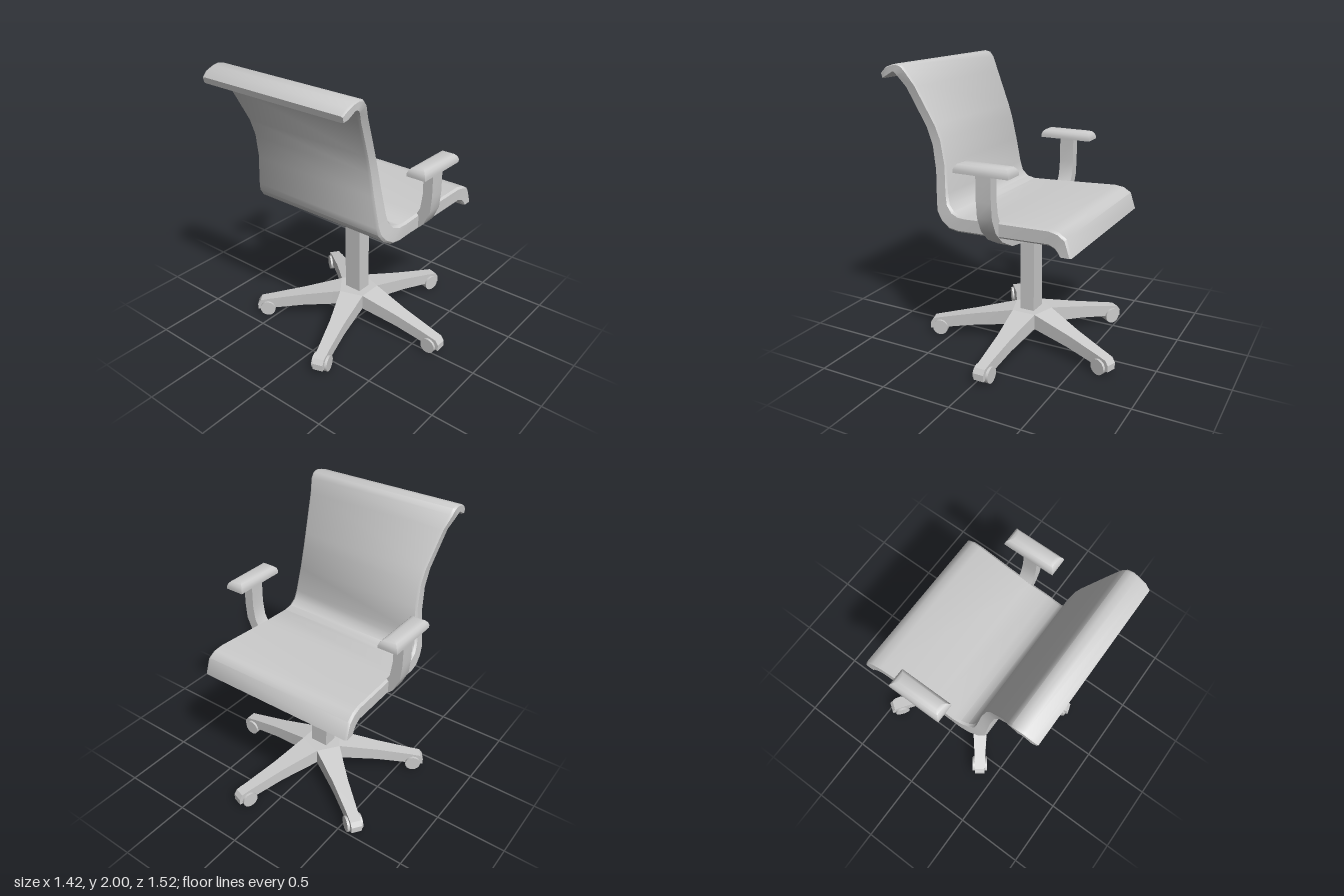
import * as THREE from 'three';
import { toCreasedNormals } from 'three/addons/utils/BufferGeometryUtils.js';

const material = new THREE.MeshStandardMaterial({ color: 0xcccccc });
const CX = -0.035, CZ = -0.04; // axis of the column

// Closed solid through a list of equal-length rings of [x, y, z] points
function loft(rings, crease = 0.7) {
  const n = rings[0].length, pts = rings.flat(), tris = [];
  for (let i = 0; i < rings.length - 1; i++) {
    for (let j = 0; j < n; j++) {
      const a = i * n + j, b = i * n + (j + 1) % n;
      tris.push([a, b, b + n], [a, b + n, a + n]);
    }
  }
  const last = (rings.length - 1) * n;
  for (let j = 1; j < n - 1; j++) tris.push([0, j + 1, j], [last, last + j, last + j + 1]);
  // Turn the faces outward whichever way the rings run
  let volume = 0;
  const v = (i) => new THREE.Vector3(...pts[i]);
  for (const [a, b, c] of tris) volume += v(a).dot(v(b).cross(v(c)));
  if (volume < 0) tris.forEach((t) => t.reverse());
  const geo = new THREE.BufferGeometry();
  geo.setAttribute('position', new THREE.Float32BufferAttribute(pts.flat(), 3));
  geo.setIndex(tris.flat());
  return toCreasedNormals(geo, crease);
}

// Horizontal rectangle ring
const rect = (cx, cz, hx, hz, y) => [
  [cx - hx, y, cz - hz], [cx + hx, y, cz - hz], [cx + hx, y, cz + hz], [cx - hx, y, cz + hz],
];

function add(parent, name, geo, x = 0, y = 0, z = 0) {
  const mesh = new THREE.Mesh(geo, material);
  mesh.name = name;
  mesh.position.set(x, y, z);
  parent.add(mesh);
  return mesh;
}

// Seat and backrest in one sweep: upper z, y, lower z, y, half width
const SHELL = [
  [0.76, 1.94, 0.75, 1.9, 0.548],
  [0.72, 1.975, 0.725, 1.907, 0.556],
  [0.67, 1.992, 0.665, 1.942, 0.558],
  [0.63, 2.0, 0.655, 1.942, 0.56],
  [0.59, 1.99, 0.645, 1.932, 0.56],
  [0.56, 1.955, 0.634, 1.918, 0.555],
  [0.51, 1.865, 0.59, 1.85, 0.527],
  [0.395, 1.62, 0.475, 1.6, 0.487],
  [0.363, 1.53, 0.438, 1.477, 0.48],
  [0.33, 1.37, 0.416, 1.318, 0.487],
  [0.31, 1.185, 0.4, 1.106, 0.515],
  [0.295, 1.117, 0.39, 1.053, 0.525],
  [0.257, 1.074, 0.353, 1.0, 0.535],
  [0.204, 1.058, 0.289, 0.957, 0.545],
  [0.15, 1.058, 0.22, 0.947, 0.55],
  [0, 1.064, 0, 0.952, 0.55],
  [-0.443, 1.08, -0.443, 0.973, 0.57],
  [-0.507, 1.069, -0.485, 0.957, 0.575],
  [-0.56, 1.035, -0.505, 0.935, 0.578],
  [-0.597, 0.92, -0.517, 0.92, 0.58],
];

function shellGeometry() {
  const bevel = 0.015;
  return loft(SHELL.map(([zu, yu, zl, yl, h]) => {
    const side = [[h - bevel, 0], [h, 0.12], [h, 0.88], [h - bevel, 1]];
    const section = [...side, ...side.map(([x, t]) => [-x, t]).reverse()];
    return section.map(([x, t]) => [CX + x, yl + (yu - yl) * t, zl + (zu - zl) * t]);
  }));
}

// U-shaped arm band: outer x, y, inner x, y from the top down to the middle
const ARM = [
  [0.645, 1.39, 0.575, 1.39],
  [0.645, 1.21, 0.575, 1.21],
  [0.635, 1.1, 0.56, 1.106],
  [0.59, 1.0, 0.51, 1.016],
  [0.51, 0.92, 0.43, 0.947],
  [0.375, 0.85, 0.3, 0.894],
  [0.22, 0.825, 0.165, 0.878],
];

function armGeometry() {
  const mirrored = ARM.map(([a, b, c, d]) => [-a, b, -c, d]).reverse();
  return loft([...ARM, ...mirrored].map(([xo, yo, xi, yi]) => [
    [CX + xo, yo, CZ - 0.053], [CX + xo, yo, CZ + 0.053],
    [CX + xi, yi, CZ + 0.053], [CX + xi, yi, CZ - 0.053],
  ]));
}

// Arm pad: rectangle stepping inward to a rounded top, as [inset, y]
function padGeometry(x) {
  const steps = [[0, 1.38], [0, 1.4], [0.007, 1.42], [0.022, 1.436], [0.045, 1.444]];
  return loft(steps.map(([d, y]) => rect(x, -0.038, 0.067 - d, 0.192 - d, y)));
}

// Base leg along +x: radius, half width, bottom, top
function legGeometry() {
  const sections = [
    [0.12, 0.087, 0.145, 0.255],
    [0.4, 0.054, 0.1, 0.192],
    [0.64, 0.04, 0.055, 0.138],
    [0.725, 0.038, 0.042, 0.118],
    [0.747, 0.037, 0.04, 0.085],
  ];
  return loft(sections.map(([r, w, b, t]) => [[r, b, -w], [r, b, w], [r, t, w], [r, t, -w]]), 0.3);
}

export function createModel() {
  const model = new THREE.Group();
  model.name = 'officeChair';

  add(model, 'seatAndBackrest', shellGeometry());

  // Mounting plate with a shallow tapered underside
  add(model, 'seatPlate', loft([
    rect(CX, -0.04, 0.335, 0.228, 0.965),
    rect(CX, -0.04, 0.335, 0.228, 0.9),
    rect(CX, -0.06, 0.205, 0.12, 0.885),
  ], 0.1));

  add(model, 'armBand', armGeometry());
  for (const side of [-1, 1]) {
    add(model, side > 0 ? 'leftArmPad' : 'rightArmPad', padGeometry(CX + side * 0.61));
  }

  add(model, 'column', new THREE.BoxGeometry(0.13, 0.65, 0.106), CX, 0.525, CZ);

  // Five-legged base on casters
  const base = new THREE.Group();
  base.name = 'base';
  base.position.set(CX, 0, CZ);
  model.add(base);
  const pentagon = (y) => Array.from({ length: 5 }, (_, i) => {
    const a = (i + 0.5) * Math.PI * 0.4, r = 0.12 / Math.cos(Math.PI / 5);
    return [r * Math.cos(a), y, r * Math.sin(a)];
  });
  add(base, 'hub', loft([pentagon(0.145), pentagon(0.255)]));
  const leg = legGeometry();
  const wheel = new THREE.CylinderGeometry(0.056, 0.056, 0.112, 16).rotateX(Math.PI / 2);
  for (let i = 0; i < 5; i++) {
    const spoke = new THREE.Group();
    spoke.name = 'baseLeg' + (i + 1);
    spoke.rotation.y = i * Math.PI * 0.4;
    add(spoke, 'leg', leg);
    add(spoke, 'caster', wheel, 0.67, 0.056, 0);
    base.add(spoke);
  }
  return model;
}
